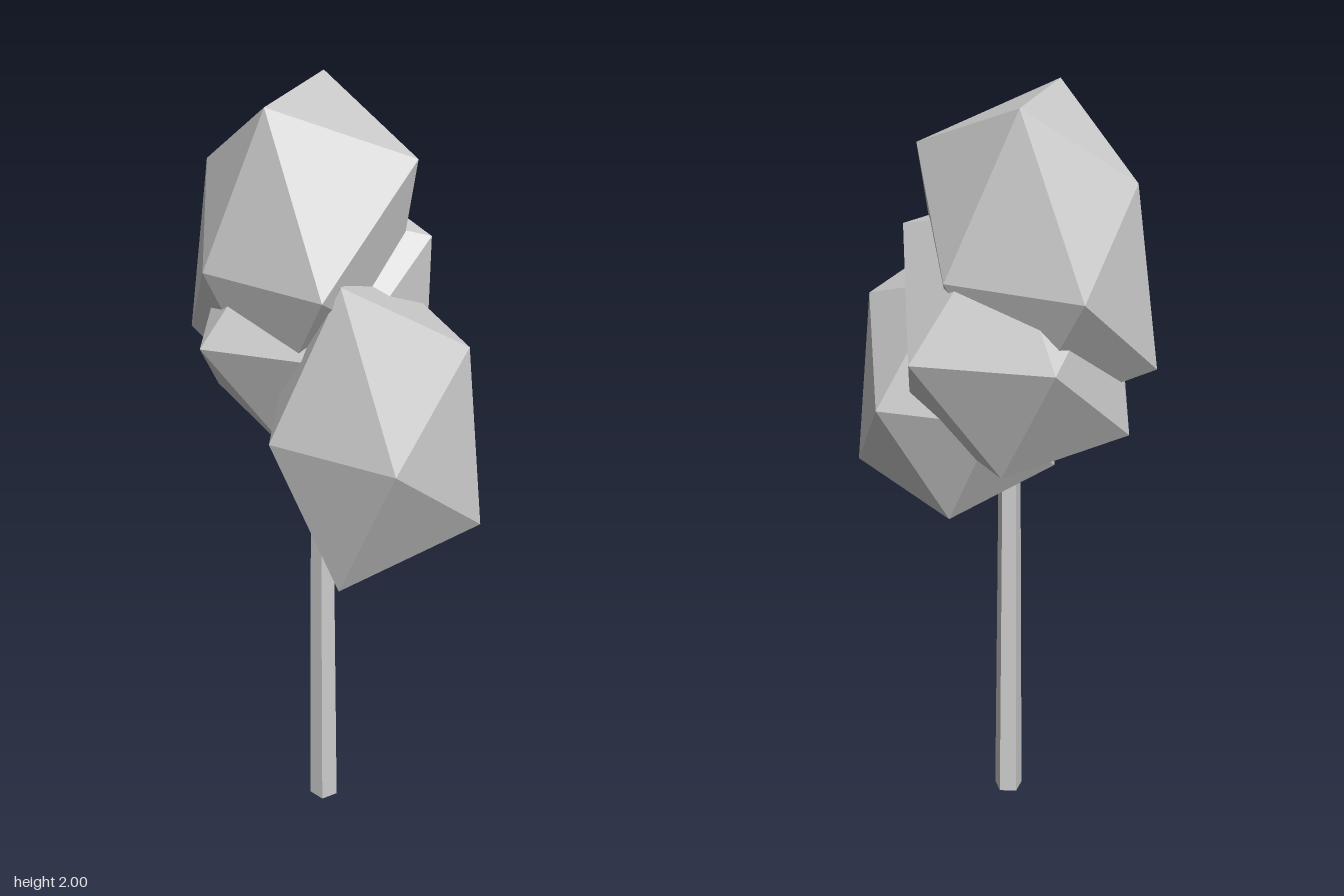
import * as THREE from 'three';

const RADIUS = 0.356;
const HEIGHT = 0.487;

// Upright icosahedron whose corners are pulled in or out by a factor.
// caps: top/bottom (front, back); belt: +x/-x (front, back); sides: +x/-x (upper, lower)
function foliageGeometry({ caps, belt, sides }) {
  const geo = new THREE.IcosahedronGeometry(1, 0).rotateY(Math.PI / 2);
  const pos = geo.attributes.position;
  const pick = (list, a, b) => list[(a < 0 ? 2 : 0) + (b < 0 ? 1 : 0)];
  for (let i = 0; i < pos.count; i++) {
    const x = pos.getX(i), y = pos.getY(i), z = pos.getZ(i);
    let f;
    if (Math.abs(x) < 0.1) f = pick(caps, y, z);
    else if (Math.abs(y) < 0.1) f = pick(belt, x, z);
    else f = pick(sides, x, y);
    pos.setXYZ(i, x * f * RADIUS, y * f * HEIGHT, z * f * RADIUS);
  }
  geo.computeVertexNormals();
  return geo;
}

export function createModel() {
  const group = new THREE.Group();
  const grey = new THREE.MeshStandardMaterial({ color: 0xcccccc, flatShading: true });
  grey.name = 'pale grey';

  // Slim five-sided trunk, tapering upwards
  const trunkGeo = new THREE.CylinderGeometry(0.028, 0.04, 1.25, 5);
  trunkGeo.rotateY(THREE.MathUtils.degToRad(15));
  const trunk = new THREE.Mesh(trunkGeo, grey);
  trunk.name = 'trunk';
  trunk.position.set(-0.018, 0.625, 0.051);
  group.add(trunk);

  // Three overlapping clumps of foliage
  const clumps = [
    {
      name: 'upperFoliage', at: [-0.11, 1.61, -0.02],
      caps: [0.94, 0.94, 0.85, 0.85],
      belt: [1, 0.83, 0.76, 1],
      sides: [1, 0.77, 0.77, 0.98],
    },
    {
      name: 'lowerFoliage', at: [0.1, 1.24, 0.05],
      caps: [0.95, 0.76, 1, 0.78],
      belt: [0.96, 0.81, 0.82, 0.8],
      sides: [0.84, 1, 0.66, 0.79],
    },
    {
      name: 'middleFoliage', at: [-0.07, 1.43, -0.05],
      caps: [0.8, 0.8, 0.8, 0.79],
      belt: [0.88, 0.96, 0.97, 0.86],
      sides: [0.96, 0.94, 0.75, 0.93],
    },
  ];
  for (const clump of clumps) {
    const mesh = new THREE.Mesh(foliageGeometry(clump), grey);
    mesh.name = clump.name;
    mesh.position.set(...clump.at);
    group.add(mesh);
  }
  return group;
}
